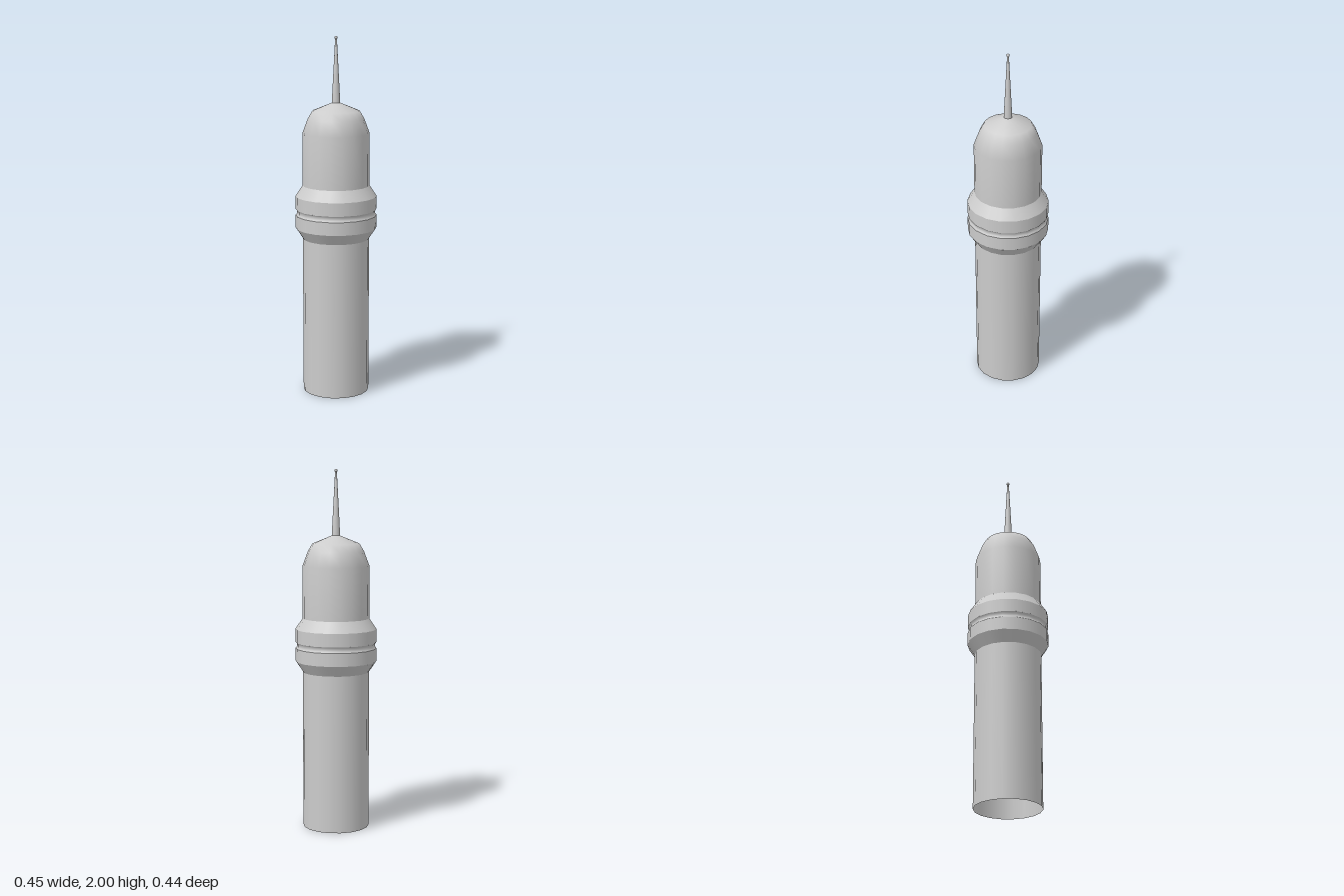
import * as THREE from 'three';

const material = new THREE.MeshStandardMaterial({ color: 0xcccccc, side: THREE.DoubleSide });

// Turned part from [radius, height] pairs, listed bottom to top
function turned(name, profile, sides = 18) {
  const points = profile.map(([r, y]) => new THREE.Vector2(r, y));
  const mesh = new THREE.Mesh(new THREE.LatheGeometry(points, sides, Math.PI / 2), material);
  mesh.name = name;
  return mesh;
}

export function createModel() {
  const model = new THREE.Group();
  model.name = 'tower';
  const R = 0.185; // shaft radius
  const C = 0.225; // collar radius

  // Open-ended shaft
  model.add(turned('shaft', [[R, 0], [R, 0.88]]));

  // Collar: sloped edges around a band with a shallow groove
  const collar = new THREE.Group();
  collar.name = 'collar';
  collar.add(
    turned('lowerSlope', [[R, 0.88], [C, 0.94]]),
    turned('lowerBand', [[C, 0.94], [C, 1.013]]),
    turned('groove', [[C, 1.013], [0.217, 1.022], [0.217, 1.037], [C, 1.046]]),
    turned('upperBand', [[C, 1.046], [C, 1.12]]),
    turned('upperSlope', [[C, 1.12], [R, 1.18]]),
  );
  model.add(collar);

  // Upper shaft rounding into the dome
  model.add(turned('dome', [
    [R, 1.18], [R, 1.47], [0.155, 1.55], [0.13, 1.593], [0.022, 1.637], [0, 1.637],
  ]));

  // Needle with a small ball on its tip
  model.add(turned('spire', [[0.023, 1.63], [0.02, 1.70], [0.005, 1.985]], 16));
  const ball = new THREE.Mesh(new THREE.SphereGeometry(0.009, 12, 8), material);
  ball.name = 'spireBall';
  ball.position.y = 1.991;
  model.add(ball);

  return model;
}
